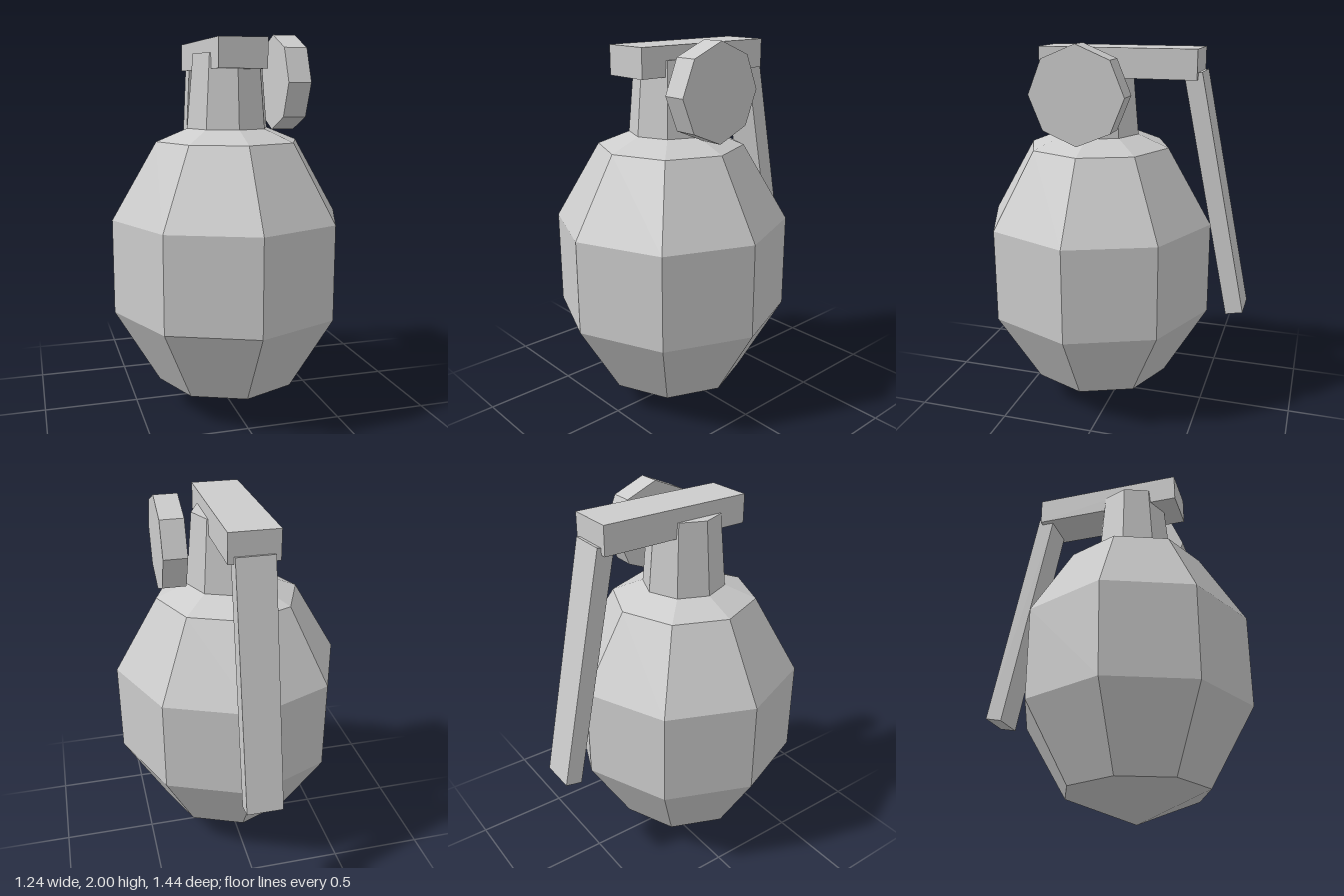
import * as THREE from 'three';

export function createModel() {
  const model = new THREE.Group();
  model.name = 'grenade';
  const grey = new THREE.MeshStandardMaterial({ color: 0xcccccc, flatShading: true });
  grey.name = 'plain grey';

  const add = (name, geometry, x, y, z) => {
    const mesh = new THREE.Mesh(geometry, grey);
    mesh.name = name;
    mesh.position.set(x, y, z);
    model.add(mesh);
    return mesh;
  };

  const axisZ = 0.1; // the body, neck and disc share this depth

  // Faceted egg-shaped body, standing on its tip
  const shell = new THREE.SphereGeometry(1, 8, 5).scale(0.652, 0.803, 0.652);
  add('body', shell, 0, 0.803, axisZ);

  // Tapered neck sunk into the top of the body
  add('neck', new THREE.CylinderGeometry(0.185, 0.229, 0.5, 8), 0, 1.65, axisZ);

  // Flat head block across the neck
  add('headBlock', new THREE.BoxGeometry(0.25, 0.15, 0.83), 0, 1.895, -0.03);

  // Safety lever sloping down behind the body
  add('lever', new THREE.BoxGeometry(0.19, 1.28, 0.092), 0, 1.223, -0.55).rotation.x = 0.204;

  // Eight-sided disc beside the neck
  add('sideDisc', new THREE.CylinderGeometry(0.247, 0.247, 0.122, 8), 0.31, 1.753, axisZ).rotation.z = Math.PI / 2;

  return model;
}
